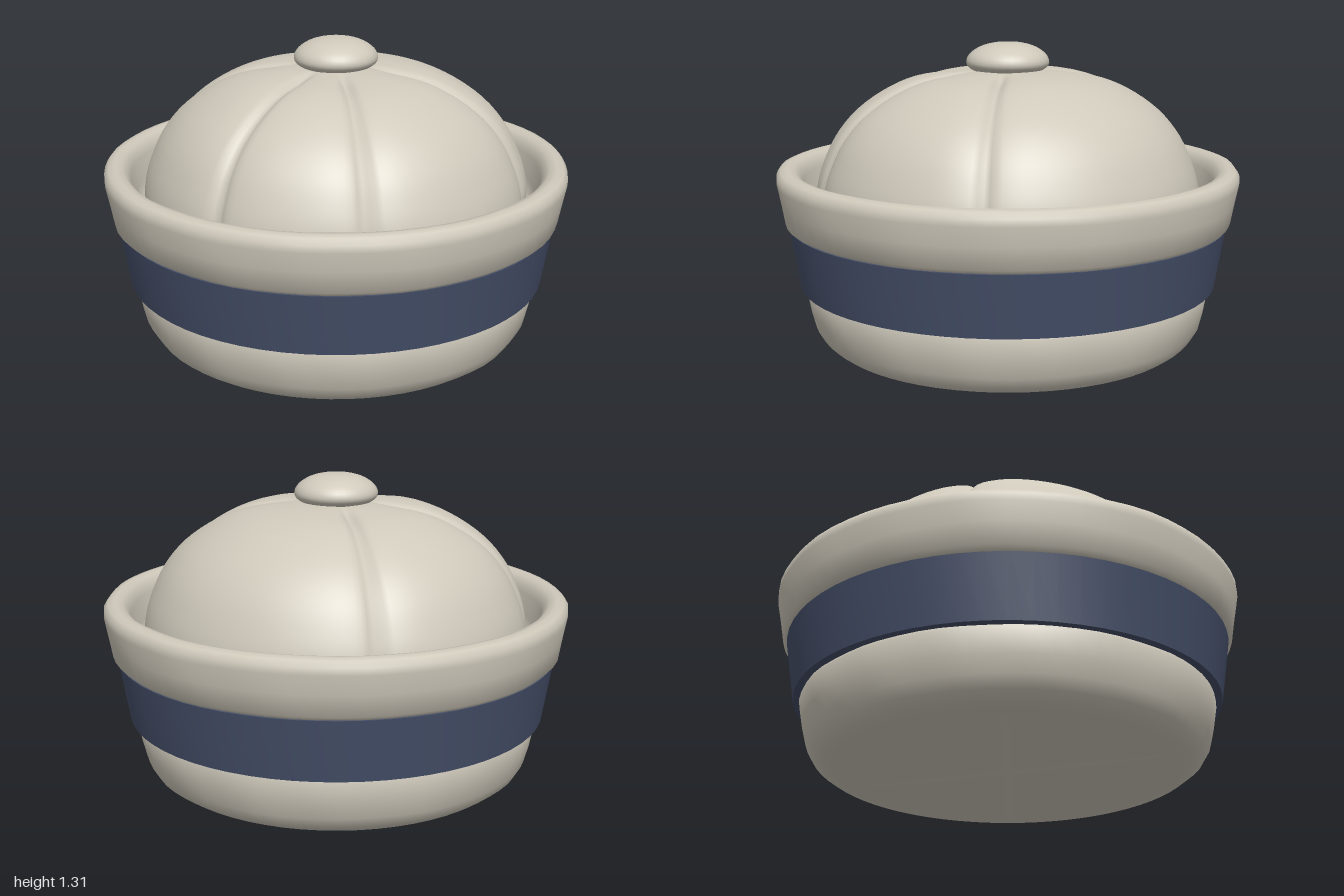
import * as THREE from 'three';
import { mergeVertices, toCreasedNormals } from 'three/addons/utils/BufferGeometryUtils.js';

const cloth = new THREE.MeshStandardMaterial({ color: 0xcfc9bb });
cloth.name = 'cream cloth';
const navy = new THREE.MeshStandardMaterial({ color: 0x454f69 });
navy.name = 'navy ribbon';

// Lathe a profile (bottom to top), optionally smoothing it and moving its vertices by a rule
function turned(name, profile, material, { smooth = 0, segments = 64, rule = null, crease = 0.7 } = {}) {
  let points = profile.map(([r, y]) => new THREE.Vector2(r, y));
  if (smooth) points = new THREE.SplineCurve(points).getPoints(smooth);
  points.forEach((p) => { p.x = Math.max(p.x, 0); });
  let geometry = new THREE.LatheGeometry(points, segments);
  geometry.deleteAttribute('uv');
  geometry.deleteAttribute('normal');
  geometry = mergeVertices(geometry, 1e-5);
  if (rule) {
    const pos = geometry.attributes.position;
    const v = new THREE.Vector3();
    for (let i = 0; i < pos.count; i++) {
      rule(v.fromBufferAttribute(pos, i));
      pos.setXYZ(i, v.x, v.y, v.z);
    }
  }
  geometry.computeVertexNormals();
  if (crease) geometry = toCreasedNormals(geometry, crease);
  const mesh = new THREE.Mesh(geometry, material);
  mesh.name = name;
  return mesh;
}

// Gentle hand-sewn unevenness
function wobble(amount) {
  return (v) => {
    const a = Math.atan2(v.z, v.x);
    const k = 1 - amount * (0.5 + 0.3 * Math.sin(9 * a + 5 * v.y) + 0.2 * Math.sin(17 * a - 8 * v.y));
    v.x *= k;
    v.z *= k;
  };
}

// Crown seams: unevenly spaced grooves running up to the button
const seams = [-78, -148, 146, 102, 36].map(THREE.MathUtils.degToRad);
function pinchSeams(v) {
  const r = Math.hypot(v.x, v.z);
  const a = Math.atan2(v.z, v.x);
  let groove = 0;
  for (const s of seams) {
    const d = Math.atan2(Math.sin(a - s), Math.cos(a - s)) * r;
    groove += 0.022 * Math.exp(-((d / 0.025) ** 2)) + 0.012 * Math.exp(-((d / 0.09) ** 2));
  }
  groove *= THREE.MathUtils.smoothstep(r, 0.1, 0.3);
  const centre = new THREE.Vector3(0, 0.5, 0);
  v.addScaledVector(v.clone().sub(centre).normalize(), -groove);
}

export function createModel() {
  const hat = new THREE.Group();
  hat.name = 'roundHat';

  // Lower body with a flat bottom and rounded edge
  hat.add(turned('lowerBody', [
    [0, 0.01], [0.4, 0.01], [0.72, 0.01], [0.77, 0.02], [0.815, 0.05], [0.845, 0.1],
    [0.863, 0.17], [0.88, 0.265], [0.87, 0.285], [0.83, 0.29],
  ], cloth, { rule: (v) => { if (v.y > 0.03) wobble(0.008)(v); } }));

  // Ribbon
  hat.add(turned('ribbonBand', [
    [0.84, 0.28], [0.903, 0.28], [0.945, 0.54], [0.88, 0.545],
  ], navy));

  // Turned-up brim, rolled over into the inner wall
  hat.add(turned('brim', [
    [0.88, 0.54], [0.945, 0.542], [0.966, 0.56], [0.982, 0.65], [0.998, 0.73], [0.997, 0.76],
    [0.98, 0.783], [0.95, 0.79], [0.92, 0.783], [0.898, 0.762], [0.885, 0.73],
    [0.865, 0.64], [0.845, 0.58], [0.79, 0.56],
  ], cloth, { rule: wobble(0.006), crease: 1 }));

  // Crown with sewn panels
  hat.add(turned('crown', [
    [0.8, 0.54], [0.825, 0.64], [0.818, 0.72], [0.79, 0.81], [0.735, 0.92], [0.65, 1.02],
    [0.53, 1.105], [0.4, 1.162], [0.25, 1.19], [0.12, 1.195], [0, 1.195],
  ], cloth, { smooth: 36, segments: 200, rule: pinchSeams, crease: 0 }));

  // Button on top
  hat.add(turned('topButton', [
    [0.1, 1.175], [0.155, 1.195], [0.178, 1.222], [0.165, 1.258], [0.12, 1.29], [0.06, 1.307], [0, 1.31],
  ], cloth, { smooth: 20, segments: 32, crease: 0 }));

  // Crossed seams under the base, as low ridges
  for (const degrees of [125, 18]) {
    const seam = new THREE.Mesh(new THREE.CylinderGeometry(0.02, 0.004, 0.009, 4, 1), cloth);
    seam.geometry.rotateY(Math.PI / 4);
    seam.scale.set(46, 1, 1);
    seam.position.y = 0.0055;
    seam.rotation.y = -THREE.MathUtils.degToRad(degrees);
    seam.name = 'baseSeam';
    hat.add(seam);
  }
  return hat;
}
